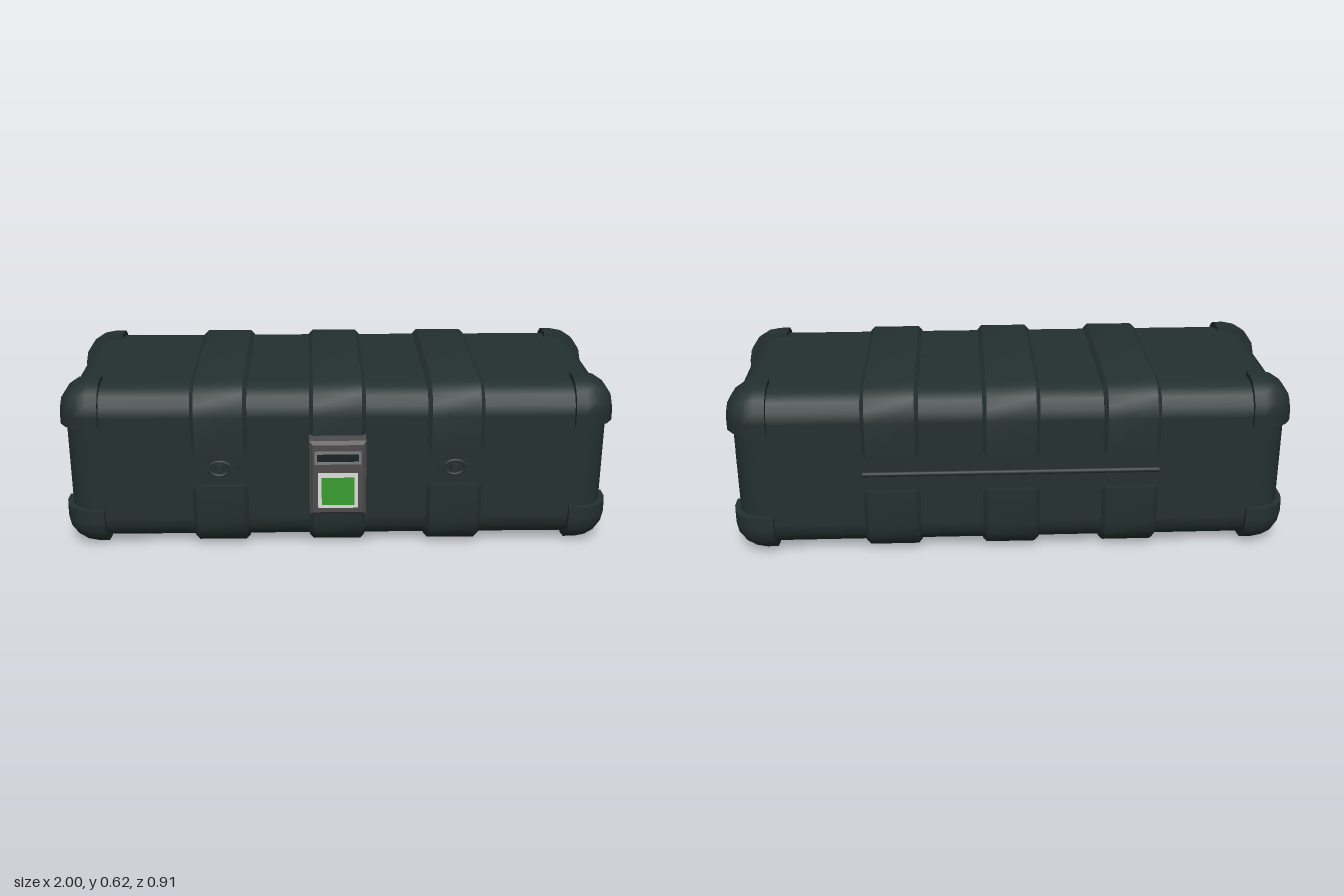
import * as THREE from 'three';
import { toCreasedNormals } from 'three/addons/utils/BufferGeometryUtils.js';

const mat = (name, color) => {
  const m = new THREE.MeshStandardMaterial({ color });
  m.name = name;
  return m;
};
const CZ = -0.046; // depth centre of the case

// Box between two corners. sides[i]: 0 rounds both ends of axis i, +1 / -1 only that end.
function roundedBlock(min, max, r, sides) {
  const stops = sides.map((s, i) => {
    const lo = [min[i], min[i] + r * 0.586, min[i] + r];
    const hi = [max[i] - r, max[i] - r * 0.586, max[i]];
    return s === 0 ? [...lo, ...hi] : s > 0 ? [min[i], ...hi] : [...lo, max[i]];
  });
  const n = stops.map(a => a.length - 1);
  const geo = new THREE.BoxGeometry(1, 1, 1, ...n);
  const pos = geo.attributes.position, nor = geo.attributes.normal;
  for (let v = 0; v < pos.count; v++) {
    const p = [0, 1, 2].map(i => stops[i][Math.round((pos.getComponent(v, i) + 0.5) * n[i])]);
    const q = p.map((c, i) => Math.min(
      Math.max(c, min[i] + (sides[i] <= 0 ? r : 0)),
      max[i] - (sides[i] >= 0 ? r : 0)));
    const d = new THREE.Vector3(...p.map((c, i) => c - q[i]));
    const big = Math.max(Math.abs(d.x), Math.abs(d.y), Math.abs(d.z));
    const cut = [0, 1, 2].some(i => nor.getComponent(v, i) * sides[i] < -0.5);
    if (big > 0) {
      d.normalize();
      pos.setXYZ(v, q[0] + d.x * big, q[1] + d.y * big, q[2] + d.z * big);
      if (!cut) nor.setXYZ(v, d.x, d.y, d.z);
    } else pos.setXYZ(v, ...p);
  }
  return geo;
}

// Side outline given as [z, y] points, extruded along x and centred on x = 0
function extrudeX(points, width, bevel = 0) {
  const shape = new THREE.Shape(points.map(([z, y]) => new THREE.Vector2(-z, y)));
  const geo = new THREE.ExtrudeGeometry(shape, {
    depth: width - 2 * bevel, bevelEnabled: bevel > 0,
    bevelThickness: bevel, bevelSize: bevel, bevelSegments: 1,
  });
  geo.translate(0, 0, -width / 2 + bevel);
  geo.rotateY(Math.PI / 2);
  return toCreasedNormals(geo, 0.5);
}

// Half of a strap: flat at yFlat, rounded corners at yRound
function strapOutline(yFlat, yRound) {
  const b = 0.014, r = 0.1, w = 0.4065 - b, s = Math.sign(yRound - yFlat);
  const y0 = yFlat + s * b, y1 = yRound - s * b;
  const pts = [[CZ + w, y0]];
  for (let i = 0; i <= 8; i++) {
    const a = Math.min(i, 4) * Math.PI / 8;
    const t = i <= 4 ? a : (i - 4) * Math.PI / 8;
    pts.push(i <= 4
      ? [CZ + w - r + r * Math.cos(a), y1 - s * (r - r * Math.sin(a))]
      : [CZ - w + r - r * Math.sin(t), y1 - s * (r - r * Math.cos(t))]);
    if (i === 4) pts.push([CZ - w + r, y1]);
  }
  pts.push([CZ - w, y0]);
  return pts;
}

export function createModel() {
  const model = new THREE.Group();
  const shell = mat('dark green shell', 0x243030);
  const panelGrey = mat('panel grey', 0x4e4b4b);
  const rimGrey = mat('slot rim grey', 0x7c7c7c);
  const light = mat('light grey', 0xc8c8c8);
  const green = mat('screen green', 0x1f8a10);
  const black = mat('slot black', 0x1a2224);

  const add = (name, geo, material, x = 0, y = 0, z = 0, parent = model) => {
    const m = new THREE.Mesh(geo, material);
    m.name = name;
    m.position.set(x, y, z);
    parent.add(m);
    return m;
  };
  const box = (w, h, d) => new THREE.BoxGeometry(w, h, d);

  // Case body
  add('caseBody', roundedBlock([-0.97, 0.02, -0.437], [0.97, 0.604, 0.342], 0.1, [0, 0, 0]), shell);

  // Eight corner guards
  for (const sx of [-1, 1]) for (const sy of [-1, 1]) for (const sz of [-1, 1]) {
    const xs = sx > 0 ? [0.84, 0.99] : [-0.99, -0.84];
    const ys = sy > 0 ? [0.47, 0.622] : [0, 0.155];
    const zs = sz > 0 ? [0.2, 0.36] : [-0.453, -0.29];
    add('cornerGuard', roundedBlock([xs[0], ys[0], zs[0]], [xs[1], ys[1], zs[1]], 0.11, [sx, sy, sz]), shell);
  }

  // Three straps, each an upper and a lower half
  const upper = extrudeX(strapOutline(0.38, 0.622), 0.2, 0.014);
  const lower = extrudeX(strapOutline(0.25, 0), 0.2, 0.014);
  for (const x of [-0.42, 0, 0.42]) {
    add('upperStrap', upper, shell, x);
    add('lowerStrap', lower, shell, x);
  }

  // Hinge rod along the back
  const rod = new THREE.CylinderGeometry(0.009, 0.009, 1.04, 8);
  rod.rotateZ(Math.PI / 2);
  add('hingeRod', rod, shell, 0, 0.312, -0.438);

  // Front latches
  for (const x of [-0.42, 0.42]) {
    const latch = new THREE.Group();
    latch.name = 'latch';
    latch.position.set(x, 0.315, 0.344);
    model.add(latch);
    const ring = add('latchRing', new THREE.TorusGeometry(0.03, 0.006, 6, 16), shell, 0, 0, 0.004, latch);
    ring.scale.set(1.25, 0.9, 1);
    const knob = new THREE.CylinderGeometry(0.014, 0.018, 0.02, 10);
    knob.rotateX(Math.PI / 2);
    add('latchKnob', knob, shell, 0, 0, 0.005, latch);
    for (const s of [-1, 1]) add('latchEar', box(0.03, 0.022, 0.014), shell, s * 0.046, 0, 0.002, latch);
  }

  // Carry handles on both ends
  const path = [[0.09, 0.287], [0.068, 0.283], [0.055, 0.245], [0.025, 0.197], [-0.045, 0.193],
    [-0.115, 0.197], [-0.145, 0.245], [-0.158, 0.283], [-0.18, 0.287]];
  for (const s of [-1, 1]) {
    const curve = new THREE.CatmullRomCurve3(path.map(([z, y]) => new THREE.Vector3(s * 0.988, y, z)));
    add('handleBar', new THREE.TubeGeometry(curve, 40, 0.008, 8), shell);
    for (const z of [0.091, -0.183]) add('handleBracket', box(0.04, 0.064, 0.03), shell, s * 0.98, 0.28, z);
  }

  // Control panel with bevelled front
  const c = 0.012;
  const panel = new THREE.ExtrudeGeometry(
    new THREE.Shape([[-0.1 + c, 0.163 + c], [0.1 - c, 0.163 + c], [0.1 - c, 0.443 - c], [-0.1 + c, 0.443 - c]]
      .map(p => new THREE.Vector2(...p))),
    { depth: 0.076, bevelThickness: c, bevelSize: c, bevelSegments: 1 });
  panel.translate(0, 0, 0.334);
  add('controlPanel', panel, panelGrey);

  // Slot with raised rim
  for (const s of [-1, 1]) {
    add('slotRim', box(0.164, 0.009, 0.012), rimGrey, 0, 0.384 + s * 0.019, 0.422);
    add('slotRimSide', box(0.009, 0.03, 0.012), rimGrey, s * 0.0775, 0.384, 0.422);
  }
  add('slot', box(0.148, 0.03, 0.006), black, 0, 0.384, 0.421);

  // Tilted screen
  add('screenHousing', extrudeX([[0.415, 0.326], [0.423, 0.326], [0.455, 0.207], [0.415, 0.2]], 0.14), light);
  const screen = add('screen', box(0.115, 0.096, 0.004), green, 0, 0.264, 0.44);
  screen.rotation.x = -0.263;

  return model;
}
